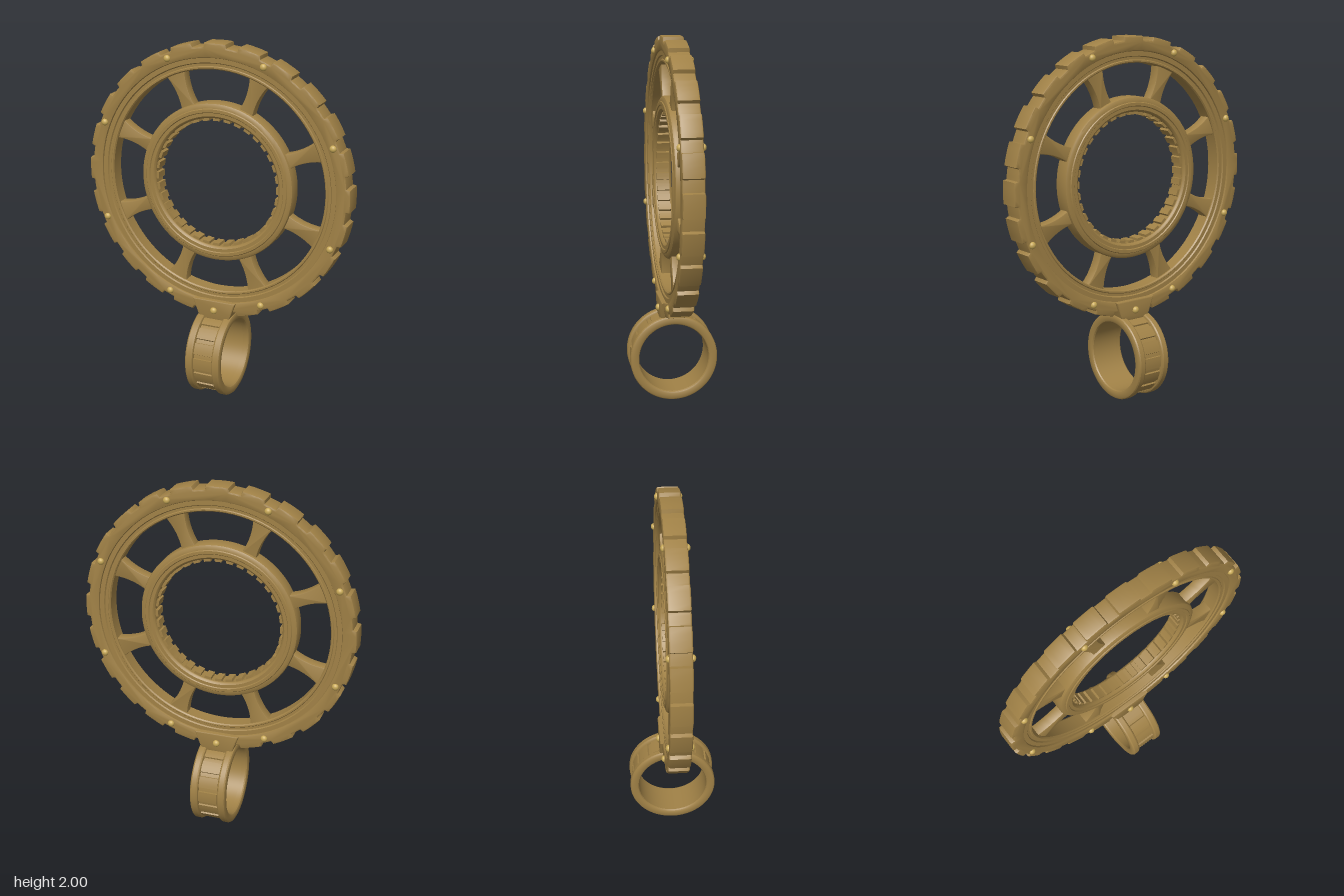
import * as THREE from 'three';
import { toCreasedNormals } from 'three/addons/utils/BufferGeometryUtils.js';

const bronze = new THREE.MeshStandardMaterial({ color: 0xa08146 });
bronze.name = 'aged bronze';
const brass = new THREE.MeshStandardMaterial({ color: 0xc9aa58 });
brass.name = 'polished brass';

function part(name, geometry, parent, material = bronze) {
  const mesh = new THREE.Mesh(geometry, material);
  mesh.name = name;
  parent.add(mesh);
  return mesh;
}

// Circle outline alternating between raised lands (r1) and gaps (r0); land = share of the pitch
function toothed(path, r0, r1, count, land) {
  const pitch = (Math.PI * 2) / count;
  const points = [];
  const arc = (r, from, to) => {
    for (let i = 0; i <= 4; i++) {
      const a = from + ((to - from) * i) / 4;
      points.push(new THREE.Vector2(r * Math.cos(a), r * Math.sin(a)));
    }
  };
  for (let k = 0; k < count; k++) {
    const a = k * pitch, h = (land * pitch) / 2;
    arc(r1, a - h, a + h);
    arc(r0, a + h + pitch * 0.03, a + pitch - h - pitch * 0.03);
  }
  return path.setFromPoints(points);
}

const circle = (path, r) => path.absarc(0, 0, r, 0, Math.PI * 2, false);

// Extrusion of the given total depth, centred on z = 0, with an inset bevel
function slab(shape, depth, bevel, curveSegments = 48) {
  const g = new THREE.ExtrudeGeometry(shape, {
    depth: depth - 2 * bevel, curveSegments, bevelEnabled: bevel > 0,
    bevelThickness: bevel, bevelSize: bevel, bevelOffset: -bevel, bevelSegments: 2,
  });
  g.translate(0, 0, -depth / 2 + bevel);
  return toCreasedNormals(g, 0.5);
}

// Ring turned about the z axis from half a section, [radius, half depth] from outside to inside
function turned(half) {
  const up = half.map(([r, z]) => new THREE.Vector2(r, z));
  const down = half.map(([r, z]) => new THREE.Vector2(r, -z)).reverse();
  const g = new THREE.LatheGeometry([...down, ...up, down[0].clone()], 96);
  g.rotateX(Math.PI / 2);
  return toCreasedNormals(g, 0.5);
}

function rivet(parent, x, y, z, r) {
  for (const side of [1, -1]) {
    const m = part('rivet', new THREE.SphereGeometry(r, 16, 10), parent, brass);
    m.position.set(x, y, side * z);
    m.scale.z = 0.85;
  }
}

export function createModel() {
  const model = new THREE.Group();
  model.name = 'wheelPendant';
  const body = new THREE.Group();
  body.name = 'pendant';
  body.rotation.y = -0.245;
  model.add(body);

  const wheel = new THREE.Group();
  wheel.name = 'wheel';
  wheel.position.y = 1.24;
  body.add(wheel);

  // Toothed outer rim
  const rim = toothed(new THREE.Shape(), 0.74, 0.76, 24, 0.62);
  rim.holes.push(circle(new THREE.Path(), 0.68));
  part('toothedRim', slab(rim, 0.116, 0.01), wheel);

  // Stepped band inside the rim
  part('steppedBand', turned([
    [0.70, 0.052], [0.688, 0.052], [0.684, 0.047], [0.655, 0.047],
    [0.65, 0.04], [0.636, 0.04], [0.632, 0.045], [0.624, 0.045], [0.618, 0.038],
  ]), wheel);

  // Inner ring with rounded shoulders and a raised bead
  part('innerRing', turned([
    [0.44, 0.032], [0.436, 0.042], [0.426, 0.048], [0.412, 0.05], [0.408, 0.055],
    [0.392, 0.055], [0.388, 0.05], [0.37, 0.05], [0.362, 0.044], [0.358, 0.036],
  ]), wheel);

  // Fine teeth lining the inner ring
  const lining = circle(new THREE.Shape(), 0.375);
  lining.holes.push(toothed(new THREE.Path(), 0.357, 0.343, 36, 0.6));
  part('innerTeeth', slab(lining, 0.07, 0), wheel);

  // Flared spokes and rim rivets
  const s = new THREE.Shape();
  s.moveTo(0.425, -0.042);
  s.quadraticCurveTo(0.53, -0.02, 0.635, -0.062);
  s.lineTo(0.635, 0.062);
  s.quadraticCurveTo(0.53, 0.02, 0.425, 0.042);
  s.closePath();
  const spokeGeometry = slab(s, 0.062, 0.006, 10);
  for (let i = 0; i < 8; i++) {
    const a = ((i + 0.5) * Math.PI) / 4;
    part('spoke', spokeGeometry, wheel).rotation.z = a;
    rivet(wheel, 0.712 * Math.cos(a), 0.712 * Math.sin(a), 0.058, 0.019);
  }

  // Clasp joining the wheel to the bail
  const c = new THREE.Shape();
  c.moveTo(-0.085, 0.455);
  c.lineTo(0.085, 0.455);
  c.lineTo(0.1, 0.49);
  c.lineTo(0.128, 0.568);
  c.lineTo(-0.128, 0.568);
  c.lineTo(-0.1, 0.49);
  c.closePath();
  part('clasp', slab(c, 0.145, 0.008), body);
  rivet(body, 0, 0.51, 0.073, 0.02);

  // Bail: panelled band between two rounded flanges, axis along the wheel's width
  const bail = new THREE.Group();
  bail.name = 'bail';
  bail.position.y = 0.242;
  bail.rotation.y = Math.PI / 2;
  body.add(bail);
  const band = toothed(new THREE.Shape(), 0.219, 0.228, 16, 0.7);
  band.holes.push(circle(new THREE.Path(), 0.198));
  part('bailBand', slab(band, 0.15, 0), bail);
  const flange = turned([
    [0.242, 0.013], [0.238, 0.02], [0.23, 0.024], [0.205, 0.024], [0.197, 0.02], [0.193, 0.013],
  ]);
  for (const side of [1, -1]) part('bailFlange', flange, bail).position.z = side * 0.079;
  part('bailLining', turned([[0.205, 0.08], [0.193, 0.08]]), bail);

  return model;
}
